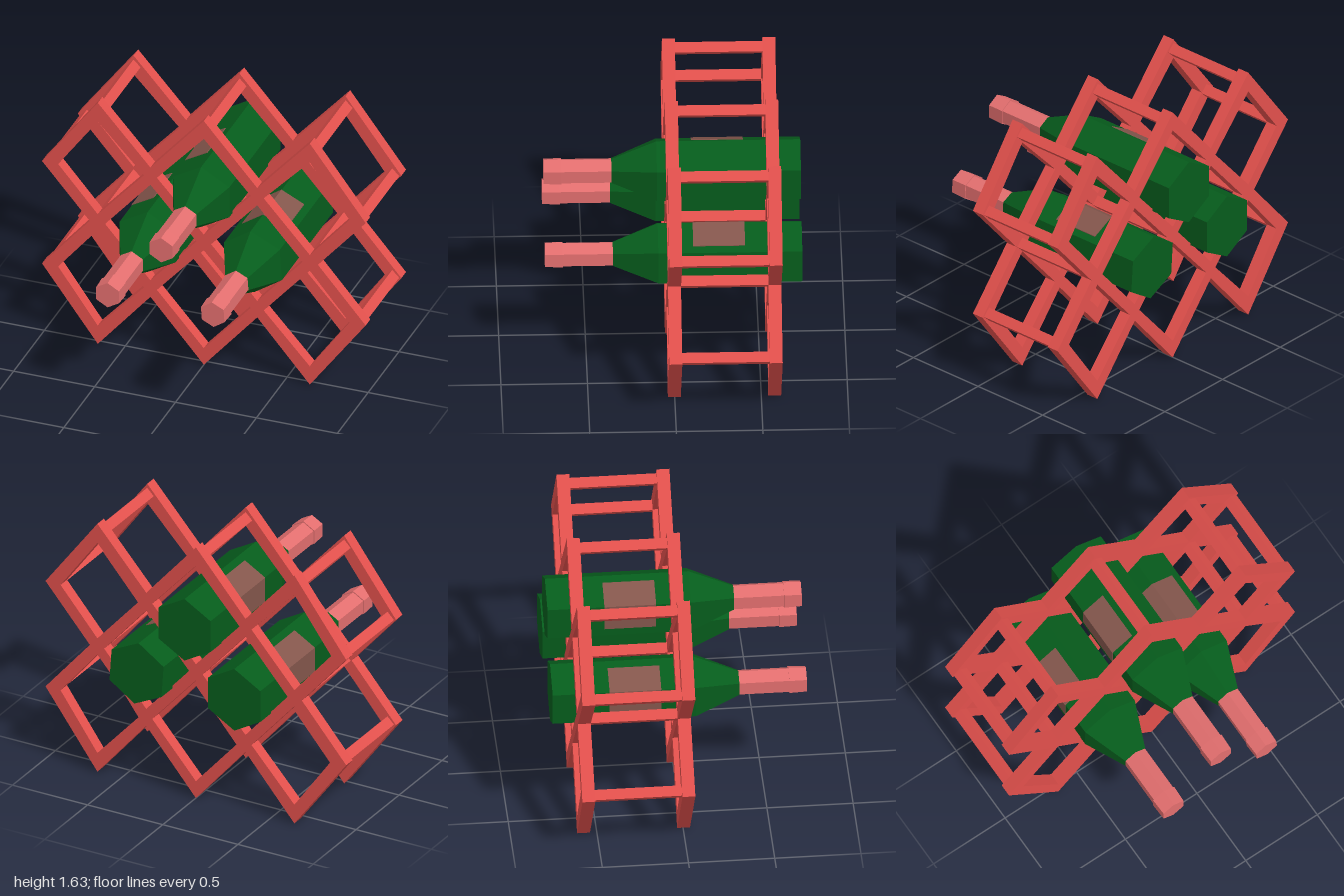
import * as THREE from 'three';

const material = (name, color) => {
  const m = new THREE.MeshStandardMaterial({ color });
  m.name = name;
  return m;
};

const faceted = (geometry) => {
  const g = geometry.toNonIndexed();
  g.computeVertexNormals();
  return g;
};

const points = (list) => list.map(([x, y]) => new THREE.Vector2(x, y));

export function createModel() {
  const red = material('red frame', 0xe2504c);
  const pink = material('pink foil', 0xe26e6e);
  const green = material('green glass', 0x065c1c);
  const brown = material('brown label', 0x84564c);

  const model = new THREE.Group();
  model.name = 'bottleRack';

  const add = (parent, name, geometry, mat) => {
    const mesh = new THREE.Mesh(geometry, mat);
    mesh.name = name;
    parent.add(mesh);
    return mesh;
  };

  // Lattice outline, counter-clockwise: right half upward, then its mirror downward
  const half = [
    [0.33, 0.385], [0.655, 0.003], [1, 0.47], [0.705, 0.815],
    [1, 1.155], [0.655, 1.615], [0.33, 1.25],
  ];
  const mirrored = half.map(([x, y]) => [-x, y]).reverse();
  const lattice = new THREE.Shape(points([[0, 0], ...half, [0, 1.63], ...mirrored]));

  // Diamond openings
  const hole = (...corners) => lattice.holes.push(new THREE.Path(points(corners)));
  hole([0, 1.51], [0.29, 1.19], [0, 0.87], [-0.29, 1.19]);
  hole([0, 0.765], [0.29, 0.44], [0, 0.11], [-0.29, 0.44]);
  for (const s of [-1, 1]) {
    hole([s * 0.655, 1.49], [s * 0.9, 1.155], [s * 0.655, 0.87], [s * 0.37, 1.19]);
    hole([s * 0.33, 1.135], [s * 0.61, 0.815], [s * 0.33, 0.495], [s * 0.045, 0.815]);
    hole([s * 0.655, 0.765], [s * 0.9, 0.47], [s * 0.655, 0.125], [s * 0.37, 0.44]);
  }
  const latticeGeometry = new THREE.ExtrudeGeometry(lattice, { depth: 0.075, bevelEnabled: false });
  add(model, 'frontLattice', latticeGeometry, red).position.z = -0.035;
  add(model, 'backLattice', latticeGeometry, red).position.z = -0.615;

  // Square rungs set on edge between the two lattices
  const rungGeometry = new THREE.BoxGeometry(0.061, 0.061, 0.51).rotateZ(Math.PI / 4);
  const rungs = [[0, 1.555], [0, 0.812]];
  for (const s of [-1, 1]) {
    rungs.push([s * 0.655, 1.545], [s * 0.943, 1.15], [s * 0.655, 0.812], [s * 0.943, 0.47]);
  }
  for (const [x, y] of rungs) add(model, 'rung', rungGeometry, red).position.set(x, y, -0.29);

  // Six-sided bottle sections lying along z
  const section = (backR, frontR, z0, z1, open = false) => faceted(
    new THREE.CylinderGeometry(frontR, backR, z1 - z0, 6, 1, open)
      .rotateX(Math.PI / 2).translate(0, 0, (z0 + z1) / 2));
  const body = section(0.2, 0.2, -0.742, 0.09);
  const shoulder = section(0.2, 0.08, 0.09, 0.35, true);
  const neck = section(0.078, 0.078, 0.345, 0.64);
  const lip = section(0.085, 0.081, 0.64, 0.742);

  // Thin label folded over one edge of the body
  const fold = [[-0.135, 0.122], [0, 0.2], [0.135, 0.122]];
  const outer = fold.map(([x, y]) => [x, y + 0.004]).reverse();
  const label = new THREE.ExtrudeGeometry(
    new THREE.Shape(points([...fold, ...outer])), { depth: 0.3, bevelEnabled: false })
    .translate(0, 0, -0.412);

  const bottles = [[-0.328, 0.78, 60], [0.003, 1.15, 60], [0.322, 0.785, 4]];
  for (const [x, y, turn] of bottles) {
    const bottle = new THREE.Group();
    bottle.name = 'bottle';
    add(bottle, 'bottleBody', body, green);
    add(bottle, 'bottleShoulder', shoulder, green);
    add(bottle, 'bottleNeck', neck, pink);
    add(bottle, 'bottleLip', lip, pink);
    add(bottle, 'bottleLabel', label, brown);
    bottle.position.set(x, y, 0);
    bottle.rotation.z = THREE.MathUtils.degToRad(turn);
    model.add(bottle);
  }
  return model;
}
